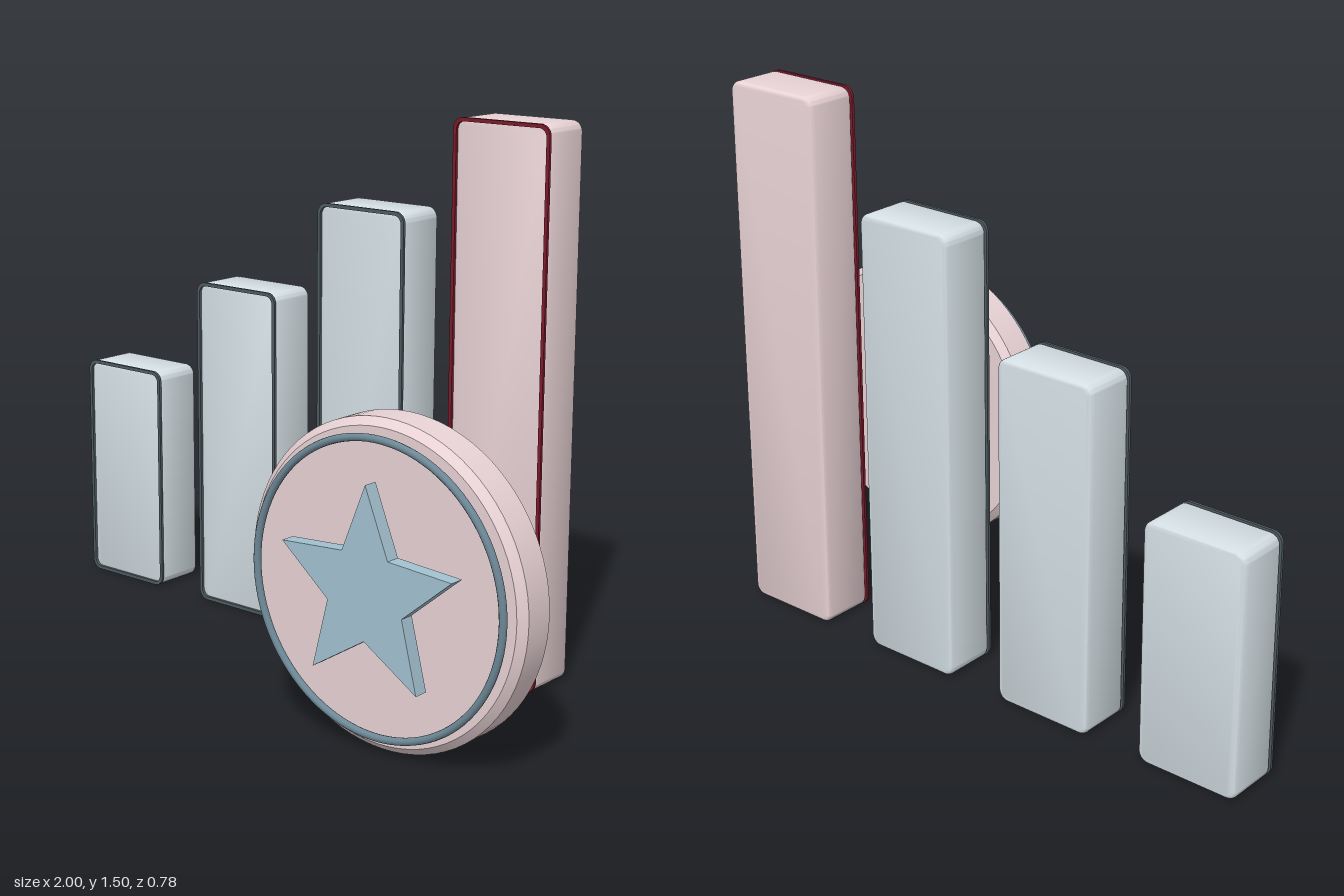
import * as THREE from 'three';
import { toCreasedNormals } from 'three/addons/utils/BufferGeometryUtils.js';

const mat = (color) => new THREE.MeshStandardMaterial({ color });

function roundedRect(path, w, h, r) {
  const x = w / 2, y = h / 2;
  path.moveTo(x, -y + r);
  path.lineTo(x, y - r);
  path.absarc(x - r, y - r, r, 0, Math.PI / 2);
  path.lineTo(-x + r, y);
  path.absarc(-x + r, y - r, r, Math.PI / 2, Math.PI);
  path.lineTo(-x, -y + r);
  path.absarc(-x + r, -y + r, r, Math.PI, Math.PI * 1.5);
  path.lineTo(x - r, -y);
  path.absarc(x - r, -y + r, r, Math.PI * 1.5, Math.PI * 2);
  return path;
}

function add(parent, name, geometry, material, x, y, z) {
  const mesh = new THREE.Mesh(geometry, material);
  mesh.name = name;
  mesh.position.set(x, y, z);
  parent.add(mesh);
  return mesh;
}

export function createModel() {
  const model = new THREE.Group();
  const greyBar = mat(0xd4dfe4), pink = mat(0xe8d2d5);
  const darkGrey = mat(0x4f5c60), darkRed = mat(0x7d1a2c);
  const ringBlue = mat(0x6d8896), starBlue = mat(0xa3c1d0);

  // Rising chart bars, each with a thin dark frame on its front edge
  const width = 0.295, bevel = 0.012, base = 0.005;
  [0.67, 0.965, 1.24, 1.505].forEach((top, i) => {
    const h = top - base, last = i === 3;
    const bar = new THREE.Group();
    bar.name = last ? 'highlightedBar' : `bar${i + 1}`;
    bar.position.set(-0.8525 + i * 0.4535, base + h / 2, 0);
    const body = new THREE.ExtrudeGeometry(
      roundedRect(new THREE.Shape(), width - 2 * bevel, h - 2 * bevel, 0.018),
      { depth: 0.148 - 2 * bevel, bevelSize: bevel, bevelThickness: bevel, bevelSegments: 4, curveSegments: 6 });
    add(bar, 'barBody', toCreasedNormals(body, 0.6), last ? pink : greyBar, 0, 0, -0.388 + bevel);

    const outline = roundedRect(new THREE.Shape(), width + 0.002, h + 0.002, 0.03);
    outline.holes.push(roundedRect(new THREE.Path(), width - 0.018, h - 0.018, 0.022));
    const frame = new THREE.ExtrudeGeometry(outline, { depth: 0.008, bevelEnabled: false, curveSegments: 6 });
    add(bar, 'barFrame', toCreasedNormals(frame, 0.6), last ? darkRed : darkGrey, 0, 0, -0.24);
    model.add(bar);
  });

  // Medal: chamfered disc, rim ring and raised star
  const medal = new THREE.Group();
  medal.name = 'medal';
  medal.position.set(0.577, 0.427, 0);
  model.add(medal);

  const R = 0.423, c = 0.02, half = 0.0625;
  const profile = [[0, -half], [R - c, -half], [R, -half + c], [R, half - c], [R - c, half], [0, half]]
    .map(([x, y]) => new THREE.Vector2(x, y));
  const disc = new THREE.LatheGeometry(profile, 80).rotateX(Math.PI / 2);
  add(medal, 'disc', toCreasedNormals(disc, 0.5), pink, 0, 0, 0.2675);

  add(medal, 'rimRing', new THREE.TorusGeometry(0.378, 0.01, 12, 96), ringBlue, 0, 0, 0.349);

  const points = Array.from({ length: 10 }, (_, i) => {
    const r = i % 2 ? 0.12 : 0.273, a = Math.PI / 2 + i * Math.PI / 5;
    return new THREE.Vector2(r * Math.cos(a), r * Math.sin(a));
  });
  const star = new THREE.ExtrudeGeometry(new THREE.Shape(points), { depth: 0.04, bevelEnabled: false });
  add(medal, 'star', star, starBlue, 0, 0, 0.35);

  return model;
}
